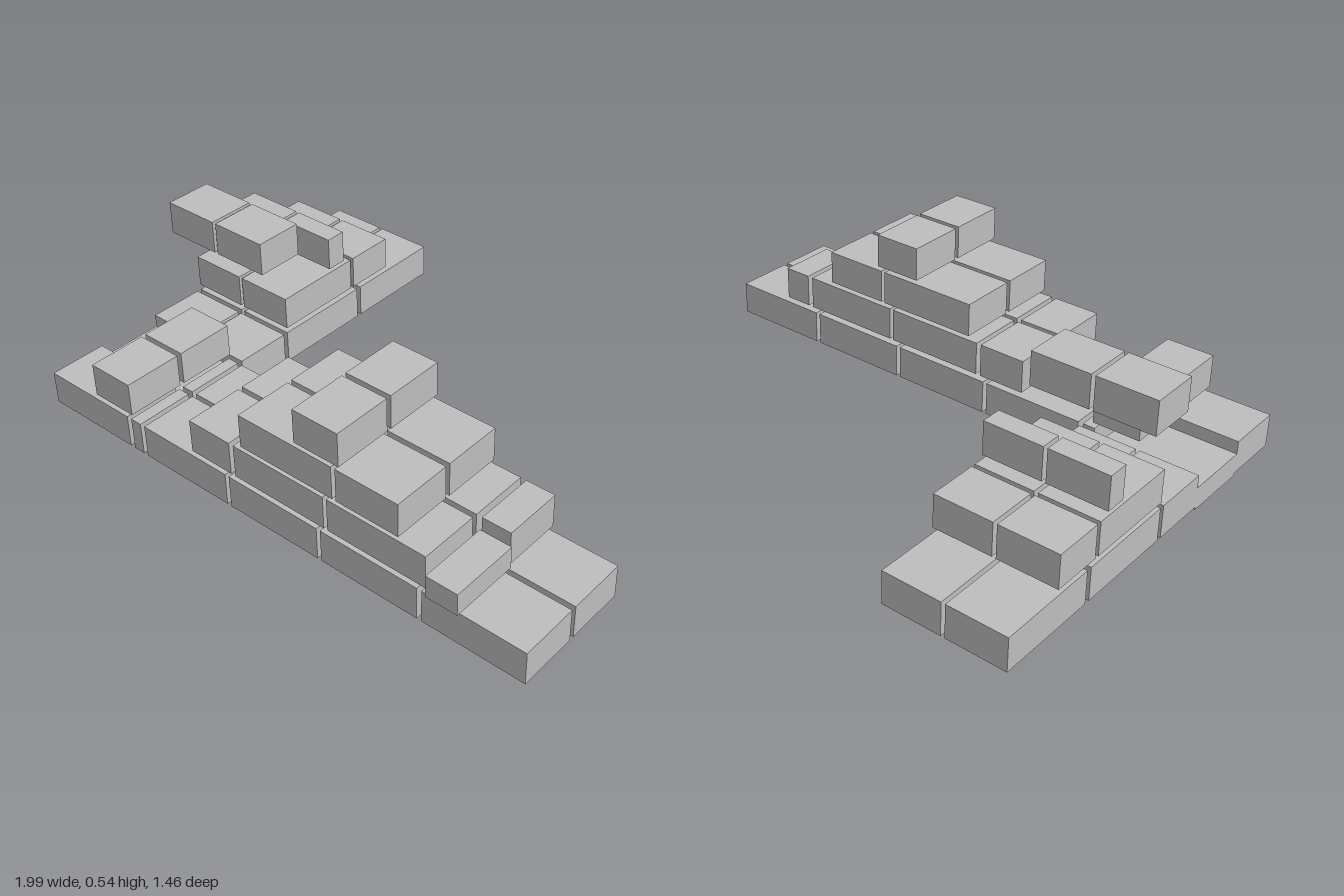
import * as THREE from 'three';

export function createModel() {
  const group = new THREE.Group();
  const stone = new THREE.MeshStandardMaterial({ color: 0xc0c0c0, flatShading: true });
  stone.name = 'grey stone';

  // One brick from its extents
  const brick = (name, [x0, x1], [y0, y1], [z0, z1]) => {
    const mesh = new THREE.Mesh(new THREE.BoxGeometry(x1 - x0, y1 - y0, z1 - z0), stone);
    mesh.position.set((x0 + x1) / 2, (y0 + y1) / 2, (z0 + z1) / 2);
    mesh.name = name;
    group.add(mesh);
  };

  const courses = [[0.01, 0.13], [0.15, 0.27], [0.285, 0.405], [0.42, 0.54]];
  const frontRow = [0.5, 0.712], backRow = [0.27, 0.483];
  const outerRow = [-0.998, -0.784], innerRow = [-0.77, -0.556];

  // Long wall: x extents of the bricks in each course, in two rows
  const longWall = [
    [[-0.603, -0.558], [-0.54, -0.166], [-0.15, 0.22], [0.235, 0.608], [0.625, 0.995]],
    [[-0.77, -0.595], [-0.31, -0.136], [-0.118, 0.252], [0.266, 0.64]],
    [[-0.083, 0.29], [0.305, 0.54]],
    [[0.146, 0.32]],
  ];
  longWall.forEach((bricks, c) => bricks.forEach((x) => {
    brick('longWallBrick', x, courses[c], frontRow);
    brick('longWallBrick', x, courses[c], backRow);
  }));

  // Short wall: z extents of the bricks in each course, in two rows
  const shortWall = [
    [[-0.732, -0.36], [-0.342, 0.028], [0.045, 0.253]],
    [[-0.505, -0.325], [-0.31, 0.028]],
    [[-0.275, -0.2]],
    [[-0.047, 0.13]],
  ];
  shortWall.forEach((bricks, c) => bricks.forEach((z) => {
    brick('shortWallBrick', outerRow, courses[c], z);
    brick('shortWallBrick', innerRow, courses[c], z);
  }));

  // Single bricks: corner, stepped end and the two loose thin ones
  brick('cornerBrick', [-0.998, -0.622], courses[0], frontRow);
  brick('endBrick', [0.66, 0.764], courses[1], backRow);
  brick('looseCornerBrick', [-0.998, -0.622], [0, 0.083], [0.253, 0.5]);
  brick('looseEndBrick', [0.655, 0.77], [0.142, 0.222], [0.485, 0.732]);

  return group;
}
